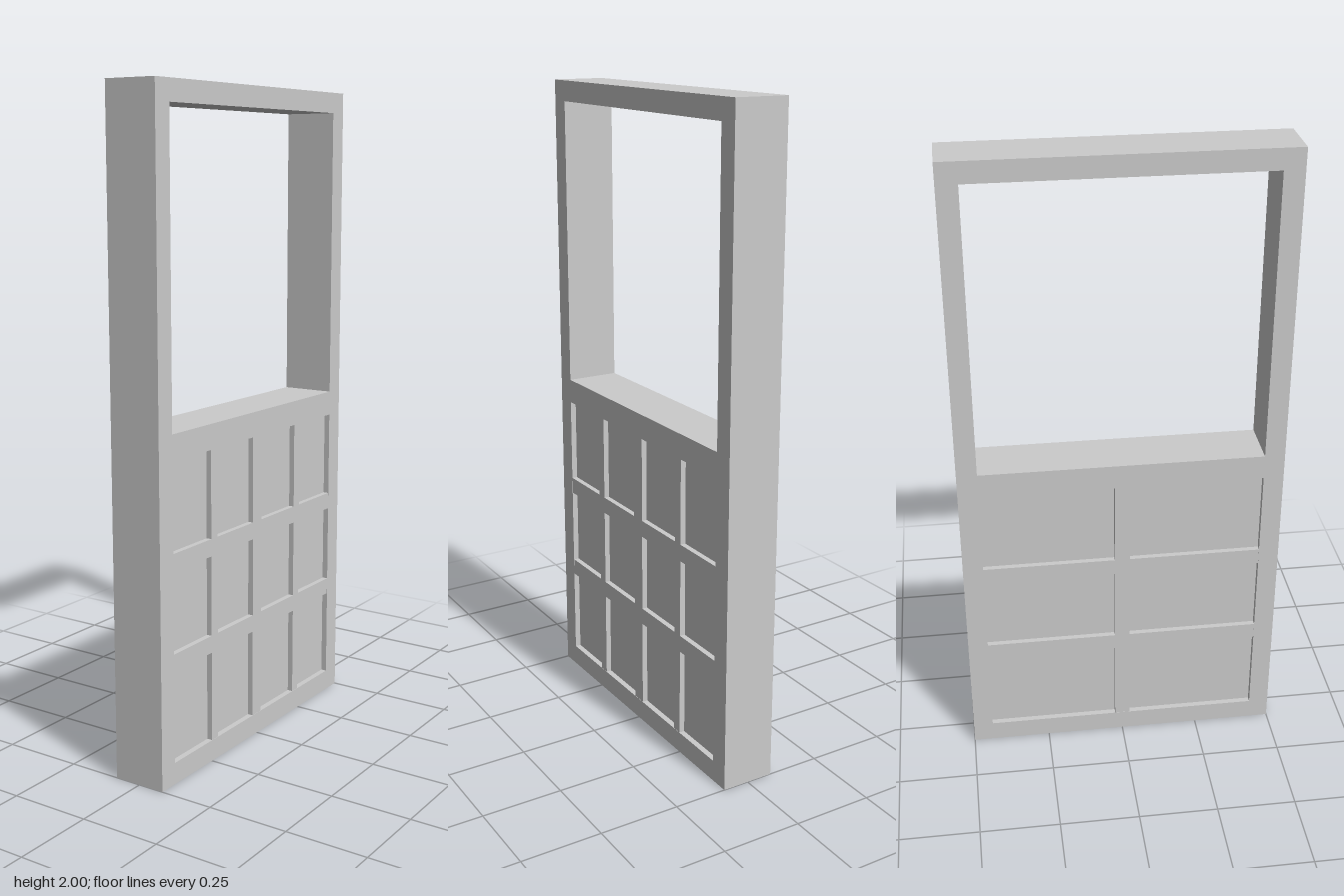
import * as THREE from 'three';

const DEPTH = 0.167;        // thickness along x
const RECESS = 0.018;       // how far the panel sits behind the frame faces
const HALF = 0.4375;        // half width of both openings
const LOW = [0.066, 0.962]; // panel opening, bottom and top
const HIGH = [1.039, 1.937]; // window opening, bottom and top

function rect(Type, half, y0, y1) {
  const p = new Type();
  p.moveTo(-half, y0);
  p.lineTo(half, y0);
  p.lineTo(half, y1);
  p.lineTo(-half, y1);
  p.closePath();
  return p;
}

export function createModel() {
  const group = new THREE.Group();
  const material = new THREE.MeshStandardMaterial({ color: 0xcccccc });

  const add = (name, geometry, x = 0, y = 0, z = 0) => {
    const mesh = new THREE.Mesh(geometry, material);
    mesh.name = name;
    mesh.position.set(x, y, z);
    group.add(mesh);
  };

  // Outer frame with the window opening and the panel opening
  const outline = rect(THREE.Shape, 0.5, 0, 2);
  outline.holes.push(rect(THREE.Path, HALF, ...LOW), rect(THREE.Path, HALF, ...HIGH));
  const frame = new THREE.ExtrudeGeometry(outline, { depth: DEPTH, bevelEnabled: false });
  frame.translate(0, 0, -DEPTH / 2).rotateY(Math.PI / 2);
  add('frame', frame);

  // Recessed lower panel
  const height = LOW[1] - LOW[0];
  const midY = (LOW[0] + LOW[1]) / 2;
  const panelDepth = DEPTH - 2 * RECESS;
  add('lowerPanel', new THREE.BoxGeometry(panelDepth, height, HALF * 2), 0, midY, 0);

  // Lattice bars: three uprights on the +x face, one on the -x face
  const barDepth = RECESS - 0.001;
  const rails = [0.37, 0.668];
  const railHeight = 0.053;
  const faces = [
    { side: 1, uprights: [[-0.232, 0.032], [0, 0.048], [0.232, 0.032]] },
    { side: -1, uprights: [[0, 0.048]] },
  ];
  // Uprights are cut into lengths that fit between the rails
  const cuts = [LOW[0], ...rails.flatMap((y) => [y - railHeight / 2, y + railHeight / 2]), LOW[1]];
  for (const { side, uprights } of faces) {
    const x = side * (panelDepth + barDepth) / 2;
    for (const y of rails) {
      add('rail', new THREE.BoxGeometry(barDepth, railHeight, HALF * 2), x, y, 0);
    }
    for (const [z, width] of uprights) {
      for (let i = 0; i < cuts.length; i += 2) {
        const length = cuts[i + 1] - cuts[i];
        add('upright', new THREE.BoxGeometry(barDepth, length, width), x, cuts[i] + length / 2, z);
      }
    }
  }

  return group;
}
